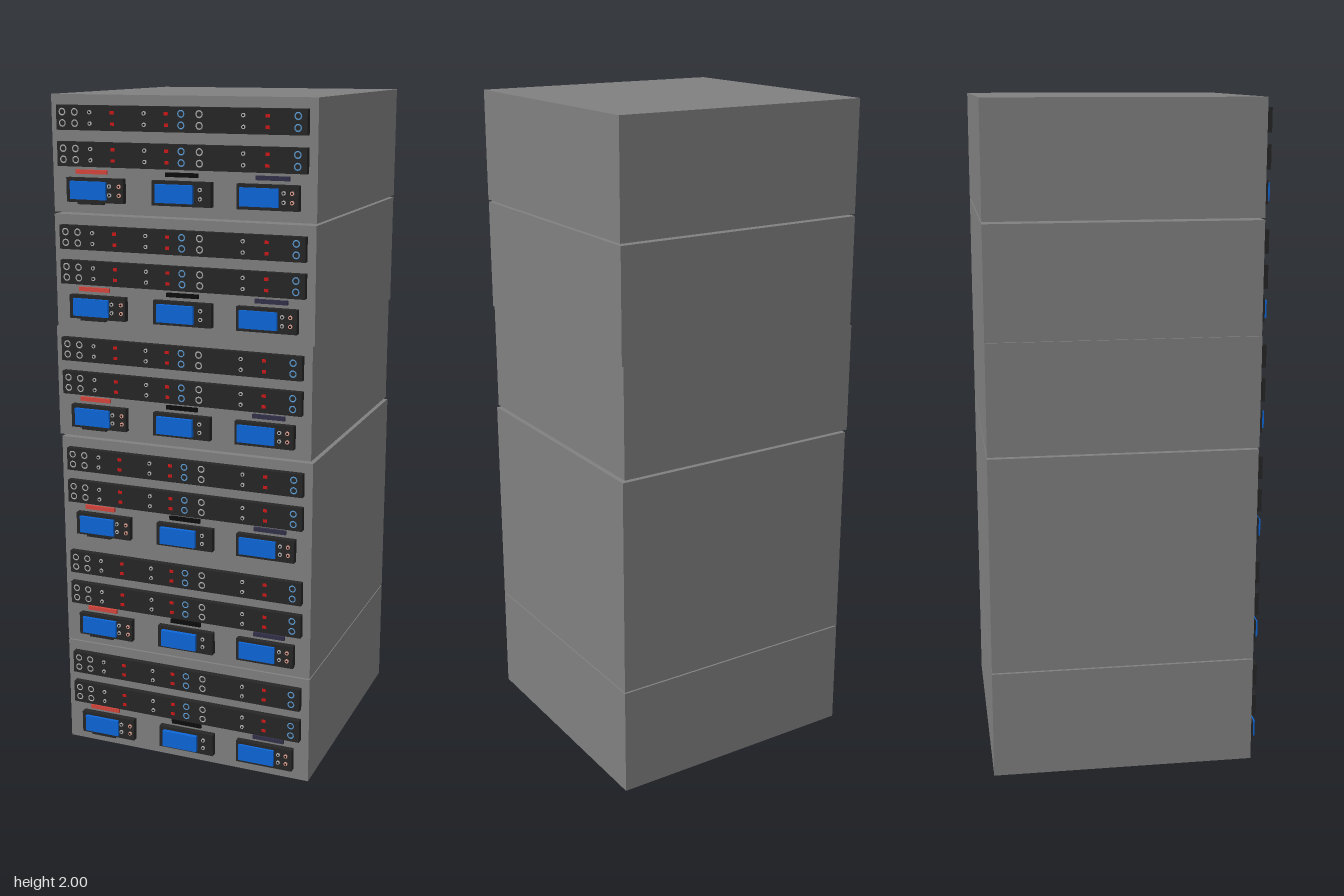
import * as THREE from 'three';

const mat = (color) => new THREE.MeshStandardMaterial({ color });
const M = {
  casing: mat(0x808080), panel: mat(0x262626), screen: mat(0x0d68dc), black: mat(0x0c0c0c),
  red: mat(0xd01818), coral: mat(0xd8463c), violet: mat(0x33304a), silver: mat(0xb4b4b4),
  blue: mat(0x5f9fd8), pink: mat(0xe0a090),
};

const W = 0.795, H = 0.331, BACK = -0.413, FRONT = 0.381, FACE = 0.4;

// Box given by its limits on each axis
function box(parent, name, material, x0, x1, y0, y1, z0, z1) {
  const mesh = new THREE.Mesh(new THREE.BoxGeometry(x1 - x0, y1 - y0, z1 - z0), material);
  mesh.position.set((x0 + x1) / 2, (y0 + y1) / 2, (z0 + z1) / 2);
  mesh.name = name;
  parent.add(mesh);
}

const socketGeo = new THREE.TorusGeometry(0.009, 0.002, 4, 12);
const buttonGeo = new THREE.CylinderGeometry(0.006, 0.006, 0.006, 10).rotateX(Math.PI / 2);
const centreGeo = new THREE.CylinderGeometry(0.003, 0.003, 0.007, 8).rotateX(Math.PI / 2);
const lampGeo = new THREE.BoxGeometry(0.012, 0.009, 0.004);

function place(parent, name, geo, material, x, y, z) {
  const mesh = new THREE.Mesh(geo, material);
  mesh.position.set(x, y, z);
  mesh.name = name;
  parent.add(mesh);
}

function button(parent, x, y, material) {
  place(parent, 'button', buttonGeo, material, x, y, FACE + 0.001);
  place(parent, 'buttonCentre', centreGeo, M.black, x, y, FACE + 0.001);
}

// Long strip with two rows of sockets, buttons and lamps
function controlStrip(y0) {
  const g = new THREE.Group();
  g.name = 'controlStrip';
  box(g, 'stripPanel', M.panel, -0.373, 0.373, y0, y0 + 0.069, FRONT - 0.01, FACE);
  for (const y of [y0 + 0.019, y0 + 0.05]) {
    for (const x of [-0.354, -0.315, 0.064]) place(g, 'socket', socketGeo, M.silver, x, y, FACE);
    for (const x of [0.01, 0.347]) place(g, 'blueSocket', socketGeo, M.blue, x, y, FACE);
    for (const x of [-0.267, -0.1, 0.193]) button(g, x, y, M.silver);
    for (const x of [-0.198, -0.034, 0.262]) place(g, 'redLamp', lampGeo, M.red, x, y, FACE);
  }
  return g;
}

// Small panel with a blue screen, buttons and a label bar above
function display(x0, screenDx, buttonCols, barDx, barMat, screenZ) {
  const g = new THREE.Group();
  g.name = 'display';
  box(g, 'displayPanel', M.panel, x0, x0 + 0.178, 0.032, 0.101, FRONT - 0.01, FACE);
  box(g, 'screen', M.screen, x0 + screenDx, x0 + screenDx + 0.112, 0.041, 0.092, FACE - 0.01, screenZ);
  box(g, 'labelBar', barMat, x0 + barDx, x0 + barDx + 0.097, 0.111, 0.123, FRONT - 0.01, FRONT + 0.008);
  for (const [dx, material] of buttonCols)
    for (const y of [0.055, 0.08]) button(g, x0 + dx, y, material);
  return g;
}

function createUnit() {
  const g = new THREE.Group();
  box(g, 'casing', M.casing, -W / 2, W / 2, 0, H, BACK, FRONT);
  g.add(controlStrip(0.233), controlStrip(0.132));
  g.add(display(-0.347, 0.015, [[0.136, M.silver], [0.166, M.pink]], 0.025, M.coral, 0.409));
  g.add(display(-0.081, 0.015, [[0.147, M.silver]], 0.037, M.black, 0.412));
  g.add(display(0.173, 0.01, [[0.136, M.silver], [0.16, M.pink]], 0.05, M.violet, 0.407));
  // Lip under the left display
  box(g, 'displayLip', M.panel, -0.315, -0.235, 0.026, 0.033, FRONT - 0.01, FACE - 0.002);
  return g;
}

export function createModel() {
  const model = new THREE.Group();
  model.name = 'equipmentStack';
  const unit = createUnit();
  // Base height and sideways shift of each stacked unit
  const levels = [[0, 0.002], [0.335, 0.002], [0.664, 0.002], [1.002, -0.004], [1.332, 0.001], [1.669, 0.002]];
  levels.forEach(([y, x], i) => {
    const u = unit.clone();
    u.name = 'rackUnit' + (i + 1);
    u.position.set(x, y, 0);
    model.add(u);
  });
  return model;
}
